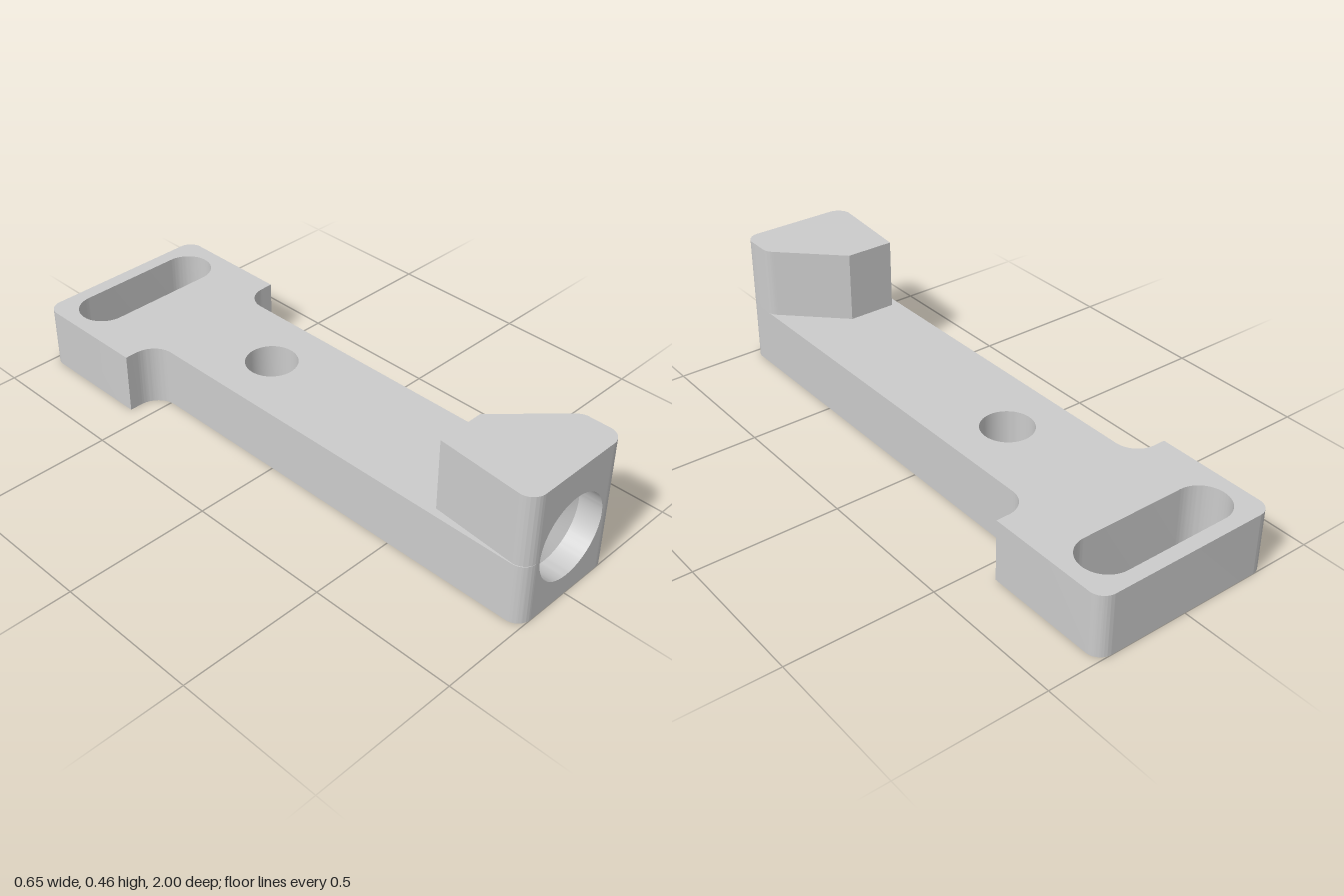
import * as THREE from 'three';
import { toCreasedNormals } from 'three/addons/utils/BufferGeometryUtils.js';

const HALF = 0.203, HEAD = 0.327, SLAB = 0.213, TOP = 0.459;
const R = 0.05, NOSE = 0.15, NOSE_BACK = 0.82, BORE = 0.142;
const material = new THREE.MeshStandardMaterial({ color: 0xcccccc });

function addMesh(group, name, geometry) {
  const mesh = new THREE.Mesh(toCreasedNormals(geometry, 0.5), material);
  mesh.name = name;
  group.add(mesh);
}

// Extrudes a plan drawn in (x, z) upward from y0 to y1
function extrudePlan(shape, y0, y1) {
  return new THREE.ExtrudeGeometry(shape, { depth: y1 - y0, bevelEnabled: false, curveSegments: 24 })
    .rotateX(Math.PI / 2)
    .translate(0, y1, 0);
}

// Recess in a plan that receives the bored nose piece
function noseNotch(shape) {
  shape.lineTo(NOSE, 1);
  shape.lineTo(NOSE, NOSE_BACK);
  shape.lineTo(-NOSE, NOSE_BACK);
  shape.lineTo(-NOSE, 1);
}

function slabPlan() {
  const s = new THREE.Shape();
  const c = HALF + 0.08;
  s.moveTo(-HEAD + R, -1);
  s.lineTo(HEAD - R, -1);
  s.absarc(HEAD - R, -1 + R, R, -Math.PI / 2, 0, false);
  s.lineTo(HEAD, -0.565);
  s.lineTo(c, -0.565);
  s.absarc(c, -0.485, 0.08, -Math.PI / 2, -Math.PI, true);
  s.lineTo(HALF, 1 - R);
  s.absarc(HALF - R, 1 - R, R, 0, Math.PI / 2, false);
  noseNotch(s);
  s.lineTo(-HALF + R, 1);
  s.absarc(-HALF + R, 1 - R, R, Math.PI / 2, Math.PI, false);
  s.lineTo(-HALF, -0.485);
  s.absarc(-c, -0.485, 0.08, 0, -Math.PI / 2, true);
  s.lineTo(-HEAD, -0.565);
  s.lineTo(-HEAD, -1 + R);
  s.absarc(-HEAD + R, -1 + R, R, Math.PI, Math.PI * 1.5, false);

  // Slot across the head and round hole in the shank
  const slot = new THREE.Path();
  slot.absarc(0.187, -0.862, 0.088, -Math.PI / 2, Math.PI / 2, false);
  slot.absarc(-0.187, -0.862, 0.088, Math.PI / 2, Math.PI * 1.5, false);
  const hole = new THREE.Path();
  hole.absarc(0, -0.213, 0.088, 0, Math.PI * 2, false);
  s.holes.push(slot, hole);
  return s;
}

// Raised jaw: slanted on one side, diagonal cut on the other
function jawPlan() {
  const s = new THREE.Shape();
  s.moveTo(-0.175, 0.655);
  s.lineTo(-0.005, 0.655);
  s.lineTo(0.185, 0.84);
  s.quadraticCurveTo(HALF, 0.858, HALF, 0.875);
  s.lineTo(HALF, 1 - R);
  s.absarc(HALF - R, 1 - R, R, 0, Math.PI / 2, false);
  noseNotch(s);
  s.absarc(-NOSE, 1 - R, R, Math.PI / 2, Math.PI, false);
  return s;
}

export function createModel() {
  const group = new THREE.Group();
  group.name = 'clampArm';
  addMesh(group, 'slab', extrudePlan(slabPlan(), 0, SLAB));
  addMesh(group, 'jaw', extrudePlan(jawPlan(), SLAB, TOP));

  // Nose: middle of the front end with a round bore
  const nose = new THREE.Shape();
  nose.moveTo(-NOSE, 0);
  nose.lineTo(NOSE, 0);
  nose.lineTo(NOSE, TOP);
  nose.lineTo(-NOSE, TOP);
  const bore = new THREE.Path();
  bore.absarc(0, SLAB, BORE, 0, Math.PI * 2, false);
  nose.holes.push(bore);
  addMesh(group, 'nose', new THREE.ExtrudeGeometry(nose, {
    depth: 1 - NOSE_BACK, bevelEnabled: false, curveSegments: 48,
  }).translate(0, 0, NOSE_BACK));

  // Conical bottom of the bore, opening to the front
  const cone = new THREE.LatheGeometry(
    [new THREE.Vector2(0, 0), new THREE.Vector2(BORE, 0.08)], 96)
    .rotateX(Math.PI / 2)
    .translate(0, SLAB, 0.84);
  const mesh = new THREE.Mesh(cone, material.clone());
  mesh.material.side = THREE.DoubleSide;
  mesh.name = 'boreBottom';
  group.add(mesh);
  return group;
}
